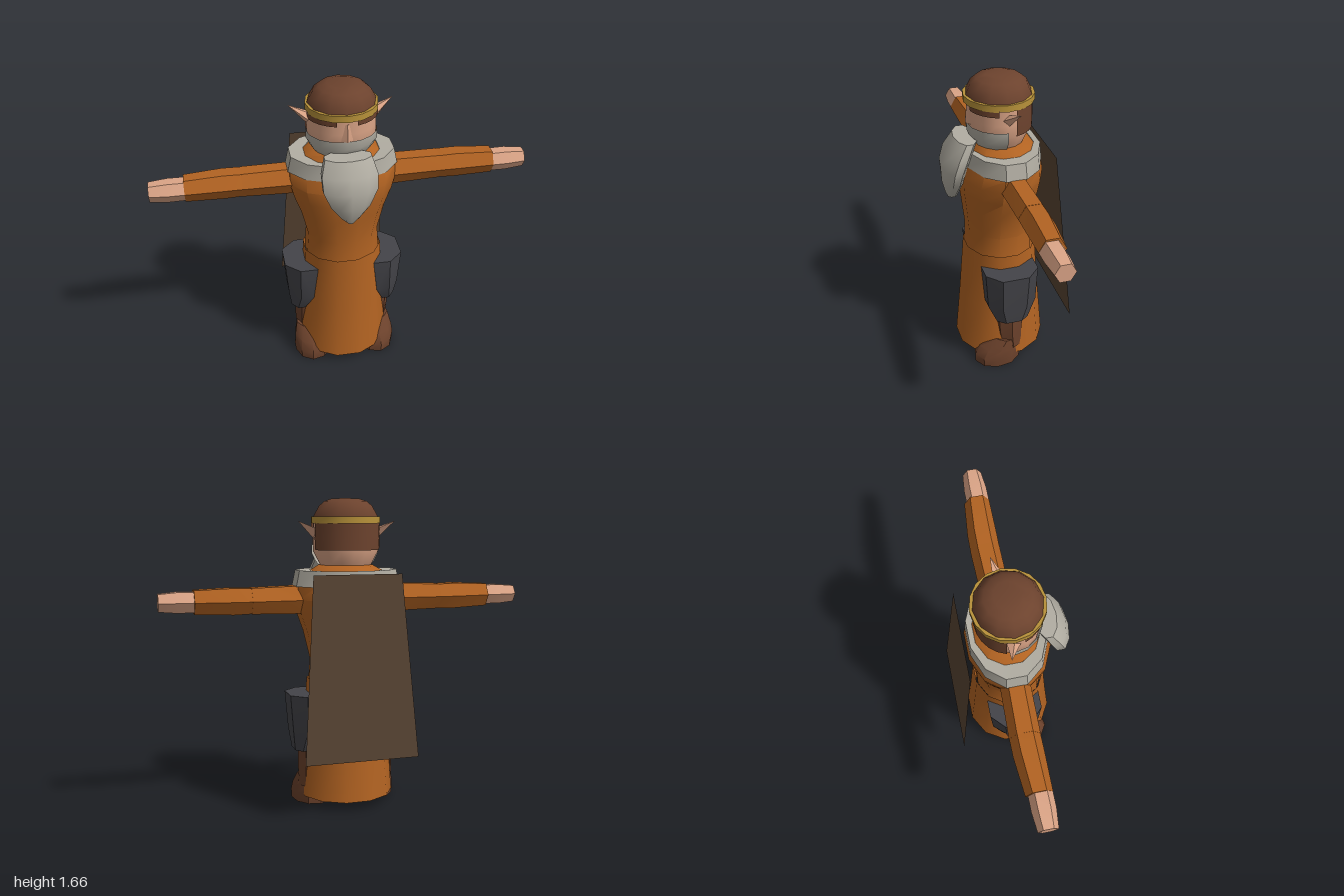
import * as THREE from 'three';
import { toCreasedNormals } from 'three/addons/utils/BufferGeometryUtils.js';

const material = (name, color, side = THREE.FrontSide) => {
  const m = new THREE.MeshStandardMaterial({ color, side });
  m.name = name;
  return m;
};

// Surface through rings of [x, y, z] points, listed from bottom to top.
function skin(rings, { closed = true, caps = true, crease = 0.6 } = {}) {
  const n = rings[0].length, pos = rings.flat(2), index = [];
  const spans = closed ? n : n - 1;
  for (let j = 0; j < rings.length - 1; j++) {
    for (let i = 0; i < spans; i++) {
      const a = j * n + i, b = j * n + (i + 1) % n;
      index.push(a, b, b + n, a, b + n, a + n);
    }
  }
  if (closed && caps) {
    const top = (rings.length - 1) * n;
    for (let i = 1; i < n - 1; i++) index.push(0, i + 1, i, top, top + i, top + i + 1);
  }
  const g = new THREE.BufferGeometry();
  g.setAttribute('position', new THREE.Float32BufferAttribute(pos, 3));
  g.setIndex(index);
  return toCreasedNormals(g, crease);
}

// Elliptical rings [y, rx, rz, cx, cz]; flat turns a facet to the front, from/to make an open arc.
function loft(sections, n, { flat = false, from = 0, to = 360, ...options } = {}) {
  const closed = to - from === 360;
  const grow = flat ? 1 / Math.cos(Math.PI / n) : 1;
  const rings = sections.map(([y, rx, rz, cx = 0, cz = 0]) =>
    Array.from({ length: closed ? n : n + 1 }, (_, i) => {
      const a = THREE.MathUtils.degToRad(from + (to - from) * (i + (flat ? 0.5 : 0)) / n);
      return [cx + rx * grow * Math.sin(a), y, cz + rz * grow * Math.cos(a)];
    }));
  return skin(rings, { closed, ...options });
}

export function createModel() {
  const orange = material('orange cloth', 0xb26322, THREE.DoubleSide);
  const grey = material('grey hair and trim', 0xb2aea3, THREE.DoubleSide);
  const skinTone = material('skin', 0xdca587);
  const brown = material('brown hair', 0x6d432e, THREE.DoubleSide);
  const leather = material('boot leather', 0x6b412b);
  const cloth = material('cape cloth', 0x584433, THREE.DoubleSide);
  const slate = material('dark plate', 0x444449);
  const gold = material('gold', 0xb8923a);

  const model = new THREE.Group();
  model.name = 'robedFigure';
  const add = (name, geometry, mat, parent = model) => {
    const mesh = new THREE.Mesh(geometry, mat);
    mesh.name = name;
    parent.add(mesh);
    return mesh;
  };

  // Robe: open skirt, fitted torso and neck
  add('skirt', loft([[0.05, 0.25, 0.242], [0.36, 0.228, 0.215], [0.695, 0.208, 0.19]], 12,
    { flat: true, caps: false }), orange);
  add('torso', loft([
    [0.66, 0.2, 0.183], [0.8, 0.19, 0.18], [0.95, 0.225, 0.195], [1.05, 0.26, 0.207],
    [1.13, 0.28, 0.214, 0, -0.005], [1.2, 0.278, 0.198, 0, -0.01],
    [1.275, 0.2, 0.17, 0, -0.01], [1.31, 0.14, 0.13]], 12, { flat: true }), orange);
  add('collar', loft([
    [1.2, 0.288, 0.2, 0, -0.01], [1.285, 0.27, 0.193, 0, -0.01], [1.282, 0.195, 0.165, 0, -0.01],
    [1.25, 0.185, 0.155, 0, -0.01]], 12, { flat: true, caps: false }), grey);

  // Cape: one flat sheet hanging away from the back
  add('cape', skin([
    [[0.31, 0.3, -0.325], [-0.31, 0.3, -0.325]],
    [[0.24, 1.27, -0.235], [-0.24, 1.27, -0.235]]], { closed: false }), cloth);

  // Head, jaw beard and long beard
  add('head', loft([
    [1.27, 0.12, 0.11], [1.32, 0.145, 0.135], [1.38, 0.177, 0.16],
    [1.45, 0.18, 0.164], [1.55, 0.176, 0.164]], 16), skinTone);
  add('jawBeard', loft([
    [1.3, 0.14, 0.13], [1.33, 0.165, 0.15], [1.37, 0.185, 0.168], [1.415, 0.186, 0.17]], 8,
    { from: -90, to: 90 }), grey);
  add('longBeard', loft([
    [1.0, 0.02, 0.025, 0, 0.255], [1.03, 0.05, 0.036, 0, 0.257], [1.1, 0.105, 0.055, 0, 0.255],
    [1.19, 0.145, 0.066, 0, 0.248], [1.27, 0.149, 0.07, 0, 0.222],
    [1.345, 0.125, 0.06, 0, 0.182]], 10, { crease: 0.8 }), grey);
  add('nose', loft([
    [1.415, 0.03, 0.018, 0, 0.157], [1.43, 0.028, 0.018, 0, 0.158],
    [1.51, 0.01, 0.006, 0, 0.162]], 4), skinTone);

  // Hair and headband
  add('hairTop', loft([
    [1.53, 0.178, 0.172], [1.57, 0.175, 0.17], [1.62, 0.147, 0.147], [1.645, 0.118, 0.118],
    [1.66, 0.075, 0.07]], 12, { crease: 0.9 }), brown);
  add('hairBack', loft([
    [1.39, 0.184, 0.171], [1.45, 0.187, 0.172], [1.54, 0.183, 0.172]], 10,
    { from: 104, to: 256 }), brown);
  add('headband', loft([[1.53, 0.186, 0.184], [1.565, 0.186, 0.184]], 16), gold);

  // Parts on each side
  for (const [label, side] of [['left', 1], ['right', -1]]) {
    const half = new THREE.Group();
    half.name = label + 'Side';
    half.scale.x = side;
    model.add(half);

    add('brow', loft([[1.5, 0.186, 0.17], [1.54, 0.184, 0.172]], 4, { from: 16, to: 74 }), brown, half);

    // Ear: pointed four-sided spike
    const tip = [0.27, 1.543, -0.035];
    add('ear', skin([
      [[0.165, 1.436, 0], [0.165, 1.5, -0.04], [0.165, 1.505, 0], [0.165, 1.475, 0.032]],
      [tip, tip, tip, tip]], { caps: false, crease: 0.3 }).applyMatrix4(new THREE.Matrix4()), skinTone, half);

    // Arm: lofted upright, then laid along x at shoulder height
    const limb = (name, sections, mat) =>
      add(name, loft(sections, 6, { crease: 0.4 }).rotateZ(-Math.PI / 2), mat, half).position.set(0, 1.13, 0);
    limb('upperSleeve', [[0.18, 0.085, 0.078, 0, -0.012], [0.3, 0.084, 0.078, 0, -0.015],
      [0.525, 0.078, 0.08, 0, -0.02]], orange);
    limb('lowerSleeve', [[0.515, 0.076, 0.079, 0, -0.02], [0.62, 0.08, 0.079, 0, -0.019],
      [0.82, 0.071, 0.069, 0, -0.01]], orange);
    limb('hand', [[0.8, 0.06, 0.062, 0, -0.004], [0.9, 0.062, 0.062, 0, -0.004],
      [1.0, 0.052, 0.052, 0, -0.004]], skinTone);

    // Hip plate: bulging six-sided shell, narrowing downwards
    const outline = [[0, 1], [0.55, 1], [1, 0.5], [1, -0.5], [0.55, -1], [0, -1]];
    const plate = [[0.31, 0.225, 0.298, 0.088], [0.415, 0.18, 0.312, 0.135], [0.62, 0.155, 0.328, 0.147]];
    add('hipPlate', skin(plate.map(([y, x0, x1, d]) =>
      outline.map(([u, w]) => [x0 + (x1 - x0) * u, y, d * w - 0.002]))), slate, half);

    // Leg and boot
    add('leg', loft([[0.1, 0.09, 0.07, 0.178, -0.01], [0.2, 0.098, 0.085, 0.175],
      [0.34, 0.1, 0.1, 0.172], [0.6, 0.1, 0.1, 0.15]], 8), leather, half);
    const boot = add('boot', loft([
      [0, 0.108, 0.135, 0, 0.065], [0.05, 0.112, 0.137, 0, 0.065], [0.1, 0.108, 0.115, 0, 0.055],
      [0.16, 0.098, 0.075, 0, 0.025]], 10), leather, half);
    boot.position.x = 0.172;
    boot.rotation.y = 0.15;
  }
  return model;
}
